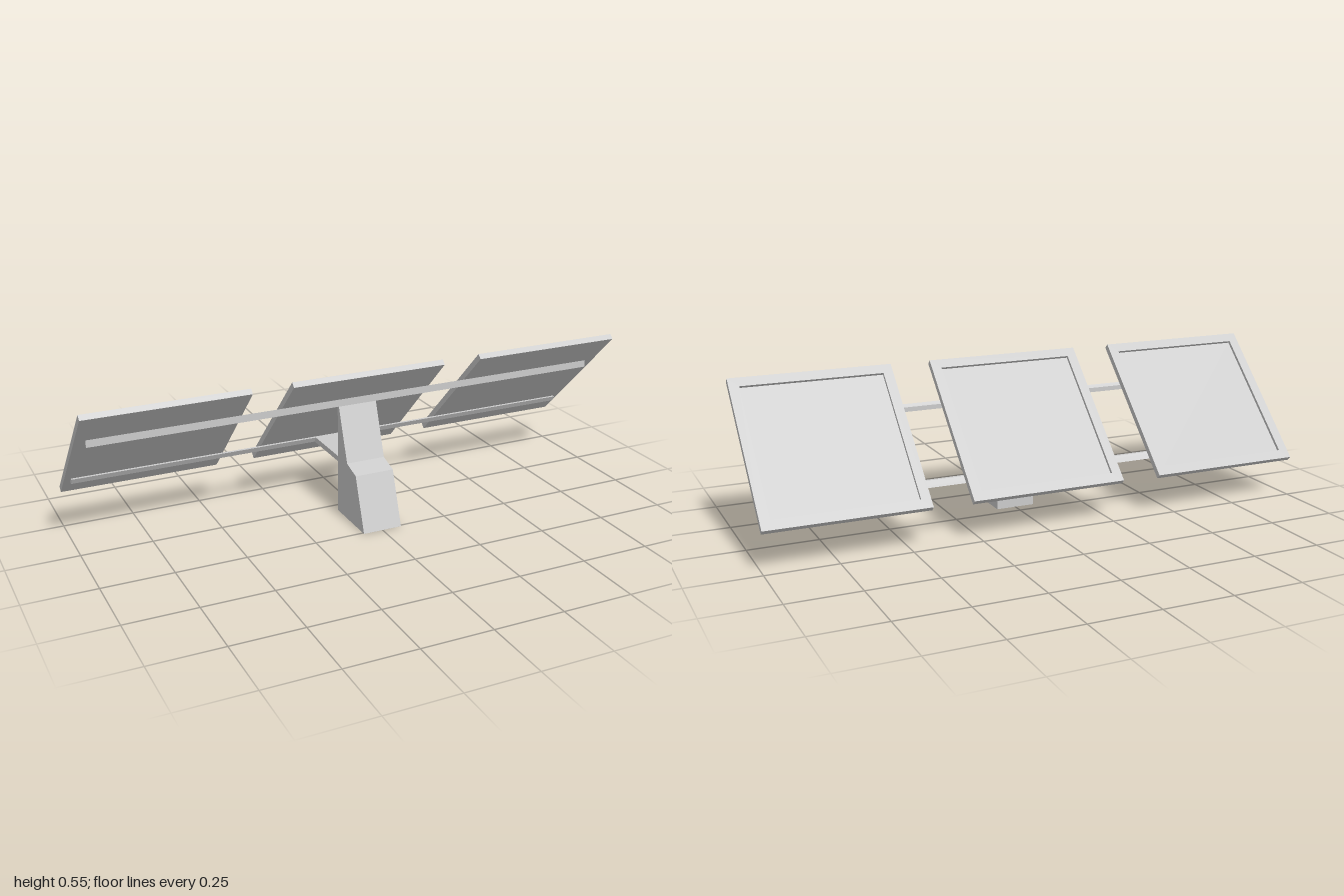
import * as THREE from 'three';

const material = new THREE.MeshStandardMaterial({ color: 0xcccccc, flatShading: true });

// Extrude a (z, y) side profile symmetrically along x
function sideExtrude(name, points, width) {
  const shape = new THREE.Shape(points.map(([z, y]) => new THREE.Vector2(z, y)));
  const geometry = new THREE.ExtrudeGeometry(shape, { depth: width, bevelEnabled: false });
  geometry.translate(0, 0, -width / 2).rotateY(-Math.PI / 2);
  const mesh = new THREE.Mesh(geometry, material);
  mesh.name = name;
  return mesh;
}

function rectangle(PathType, w, h) {
  const x = w / 2, y = h / 2;
  return new PathType([[-x, -y], [x, -y], [x, y], [-x, y]].map(p => new THREE.Vector2(...p)));
}

// Tilted panel: a backing slab with a raised rim on its rear, upward side
function solarPanel(x) {
  const w = 0.57, h = 0.572, thickness = 0.021, rimWidth = 0.035, recess = 0.0105;
  const panel = new THREE.Group();
  panel.name = 'solarPanel';

  const rim = rectangle(THREE.Shape, w, h);
  rim.holes.push(rectangle(THREE.Path, w - 2 * rimWidth, h - 2 * rimWidth));
  const rimGeometry = new THREE.ExtrudeGeometry(rim, { depth: recess, bevelEnabled: false });
  rimGeometry.translate(0, 0, -thickness / 2);
  const frame = new THREE.Mesh(rimGeometry, material);
  frame.name = 'panelFrame';

  const slab = thickness - recess;
  const backing = new THREE.Mesh(new THREE.BoxGeometry(w, h, slab), material);
  backing.name = 'panelSurface';
  backing.position.z = thickness / 2 - slab / 2;

  panel.add(frame, backing);
  panel.position.set(x, 0.3435, -0.0475);
  panel.rotation.x = Math.PI / 4;
  return panel;
}

export function createModel() {
  const model = new THREE.Group();
  model.name = 'solarArray';

  // Stepped pedestal
  model.add(sideExtrude('pedestal', [
    [0.258, 0], [0.19, 0.191], [0.12, 0.212], [0.053, 0.402], [0.043, 0.402], [0.043, 0],
  ], 0.144));

  // Arm reaching back to the lower rail
  model.add(sideExtrude('supportArm', [
    [0.043, 0.192], [0.043, 0.212], [-0.163, 0.212], [-0.183, 0.192],
  ], 0.144));

  // Rails cut to meet the underside of the panels
  model.add(sideExtrude('upperRail', [
    [0.053, 0.402], [0.053, 0.428], [0.043, 0.418], [0.043, 0.402],
  ], 1.925));
  model.add(sideExtrude('lowerRail', [
    [-0.152, 0.212], [-0.163, 0.212], [-0.183, 0.192], [-0.163, 0.192],
  ], 1.955));

  for (const x of [-0.715, 0, 0.715]) model.add(solarPanel(x));
  return model;
}
